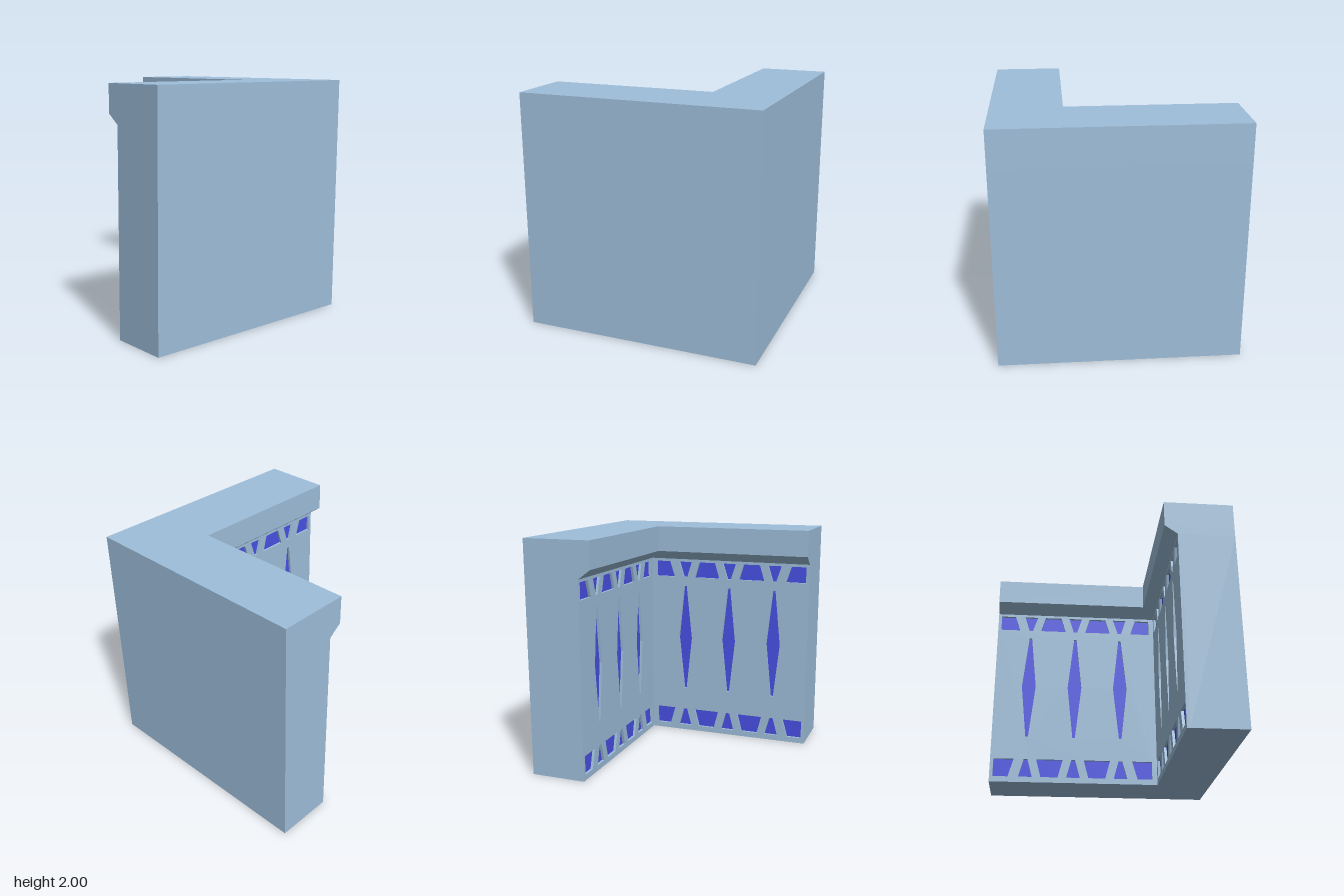
import * as THREE from 'three';

const FACE = 0.52;      // inner face of the recessed panels
const BACK = 0.545;     // bottom of the panel recesses
const LIP = 0.413;      // inner face of the overhanging top
const PANEL_TOP = 1.69;
const WIDTH = FACE + 1;
const MID = 0.768;      // pattern centre along a panel
const STEP = 0.432;     // pattern spacing

// Solid with an L-shaped plan, lofted through [innerEdge, height] layers
function loftL(layers) {
  const rings = layers.map(([d, y]) =>
    [[1, 1], [1, -1], [d, -1], [d, d], [-1, d], [-1, 1]].map(([x, z]) => [x, y, z]));
  const pos = [];
  const tri = (a, b, c) => pos.push(...a, ...b, ...c);
  for (let k = 0; k < rings.length - 1; k++) {
    const lo = rings[k], hi = rings[k + 1];
    for (let i = 0; i < 6; i++) {
      const j = (i + 1) % 6;
      tri(lo[i], lo[j], hi[j]);
      tri(lo[i], hi[j], hi[i]);
    }
  }
  // caps fan out from the inner corner
  const bottom = rings[0], top = rings[rings.length - 1];
  for (let i = 4; i < 8; i++) {
    const a = i % 6, b = (i + 1) % 6;
    tri(top[3], top[a], top[b]);
    tri(bottom[3], bottom[b], bottom[a]);
  }
  const g = new THREE.BufferGeometry();
  g.setAttribute('position', new THREE.Float32BufferAttribute(pos, 3));
  g.computeVertexNormals();
  return g;
}

// Outlines of all recesses of one panel
function recessOutlines() {
  const list = [];
  // each band: edge near the rim (outer) and edge near the middle (inner)
  for (const [outer, inner] of [[0.05, 0.215], [1.665, 1.52]]) {
    const trapezoid = (o0, o1, i0, i1) => list.push(
      [[MID + o0, outer], [MID + o1, outer], [MID + i1, inner], [MID + i0, inner]]);
    for (const c of [-STEP, 0, STEP]) trapezoid(c - 0.062, c + 0.062, c - 0.017, c + 0.017);
    for (const c of [-STEP / 2, STEP / 2]) trapezoid(c - 0.077, c + 0.077, c - 0.12, c + 0.12);
    trapezoid(-0.722, -0.587, -0.722, -0.54);
    trapezoid(0.587, 0.722, 0.54, 0.722);
  }
  // tall blunt-ended diamonds
  for (const c of [-STEP, 0, STEP]) {
    const x = MID + c;
    list.push([[x - 0.012, 0.43], [x + 0.012, 0.43], [x + 0.065, 0.93],
      [x + 0.012, 1.435], [x - 0.012, 1.435], [x - 0.065, 0.93]]);
  }
  return list.map(points => points.map(([x, y]) => new THREE.Vector2(x, y)));
}

export function createModel() {
  const stone = new THREE.MeshStandardMaterial({ color: 0x9ebeda });
  stone.name = 'paleSteelBlue';
  const inlay = new THREE.MeshStandardMaterial({ color: 0x4850e4 });
  inlay.name = 'royalBlueInlay';

  const model = new THREE.Group();
  model.name = 'cornerWall';
  const add = (parent, name, geometry, material) => {
    const mesh = new THREE.Mesh(geometry, material);
    mesh.name = name;
    parent.add(mesh);
    return mesh;
  };

  // Wall core and the overhanging top with its sloped underside
  add(model, 'wallCore', loftL([[BACK, 0], [BACK, PANEL_TOP]]), stone);
  add(model, 'cornice', loftL([[FACE, PANEL_TOP], [LIP, 1.77], [LIP, 2]]), stone);

  // Pierced panel with coloured inlays at the bottom of the recesses
  function panel(name, start) {
    const group = new THREE.Group();
    group.name = name;
    const outlines = recessOutlines();
    const shape = new THREE.Shape([[start, 0], [WIDTH, 0], [WIDTH, PANEL_TOP], [start, PANEL_TOP]]
      .map(([x, y]) => new THREE.Vector2(x, y)));
    shape.holes = outlines.map(o => new THREE.Path(o));
    add(group, 'piercedPanel',
      new THREE.ExtrudeGeometry(shape, { depth: BACK - FACE, bevelEnabled: false }), stone);
    const inlays = new THREE.ShapeGeometry(outlines.map(o => new THREE.Shape(o)));
    add(group, 'inlays', inlays, inlay).position.z = 0.002;
    model.add(group);
    return group;
  }

  // The front wall's panel runs on behind the corner to close it
  const front = panel('frontWallPanel', FACE - BACK);
  front.position.set(FACE, 0, BACK);
  front.rotation.y = Math.PI;

  // The side panel is turned round, so its pattern is shifted to mirror about the corner
  const side = panel('sideWallPanel', 0);
  side.scale.x = -1;
  side.position.set(BACK, 0, FACE);
  side.rotation.y = -Math.PI / 2;

  return model;
}
